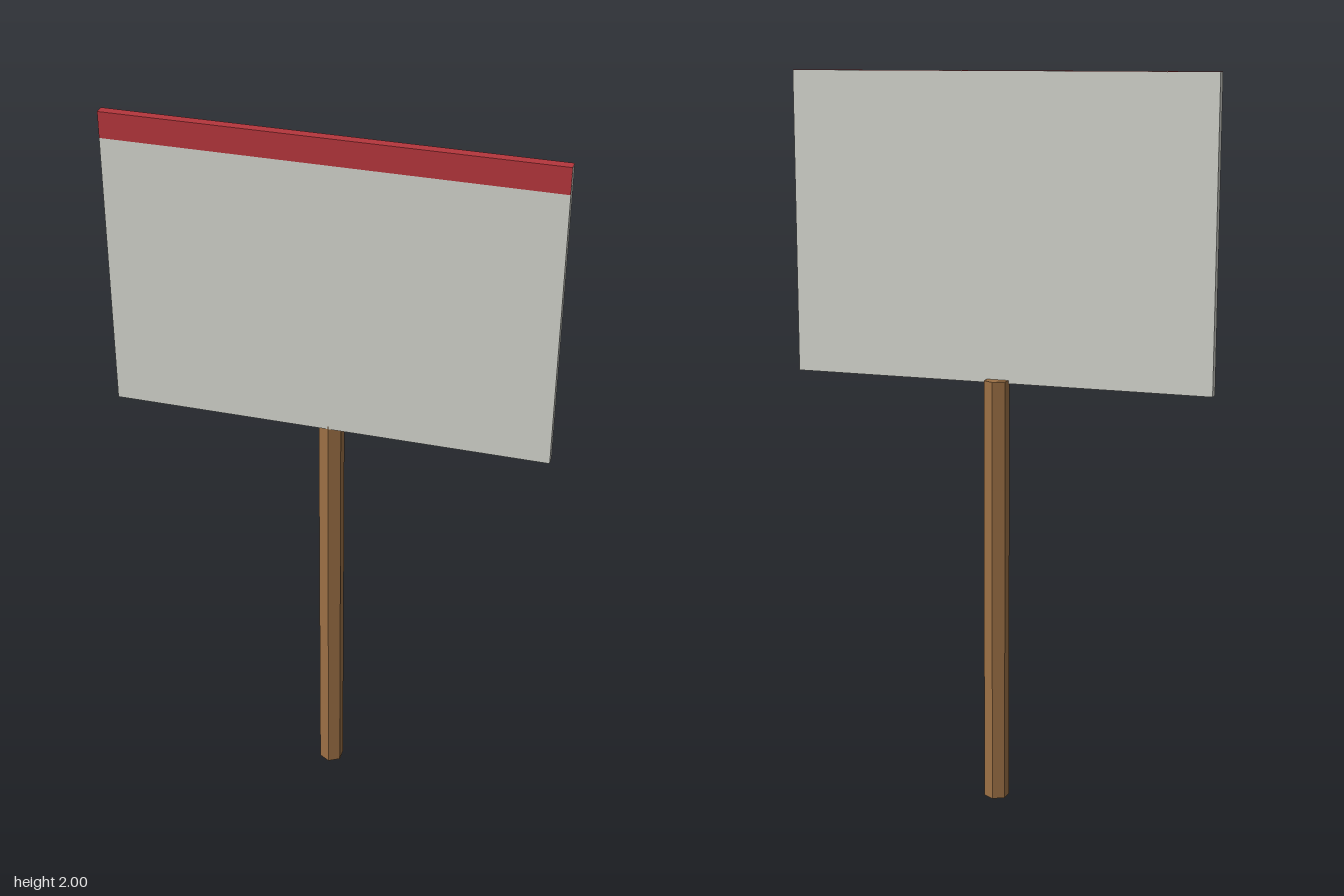
import * as THREE from 'three';

export function createModel() {
  const sign = new THREE.Group();
  sign.name = 'signpost';

  const addPart = (name, geometry, color, y, z) => {
    const material = new THREE.MeshStandardMaterial({ color, flatShading: true });
    const mesh = new THREE.Mesh(geometry, material);
    mesh.name = name;
    mesh.position.set(0, y, z);
    sign.add(mesh);
  };

  // Hexagonal wooden post, with one edge facing forward
  addPart('post', new THREE.CylinderGeometry(0.035, 0.035, 1.185, 6), 0x9c7045, 0.5925, 0);

  // Flat panel mounted on the front half of the post
  addPart('panel', new THREE.BoxGeometry(1.184, 0.823, 0.026), 0xd2d3cc, 1.5875, 0.021);

  // Coloured band along the top, barely proud of the panel's front and top
  addPart('topBand', new THREE.BoxGeometry(1.183, 0.07, 0.0265), 0xb5363c, 1.965, 0.02175);

  return sign;
}
